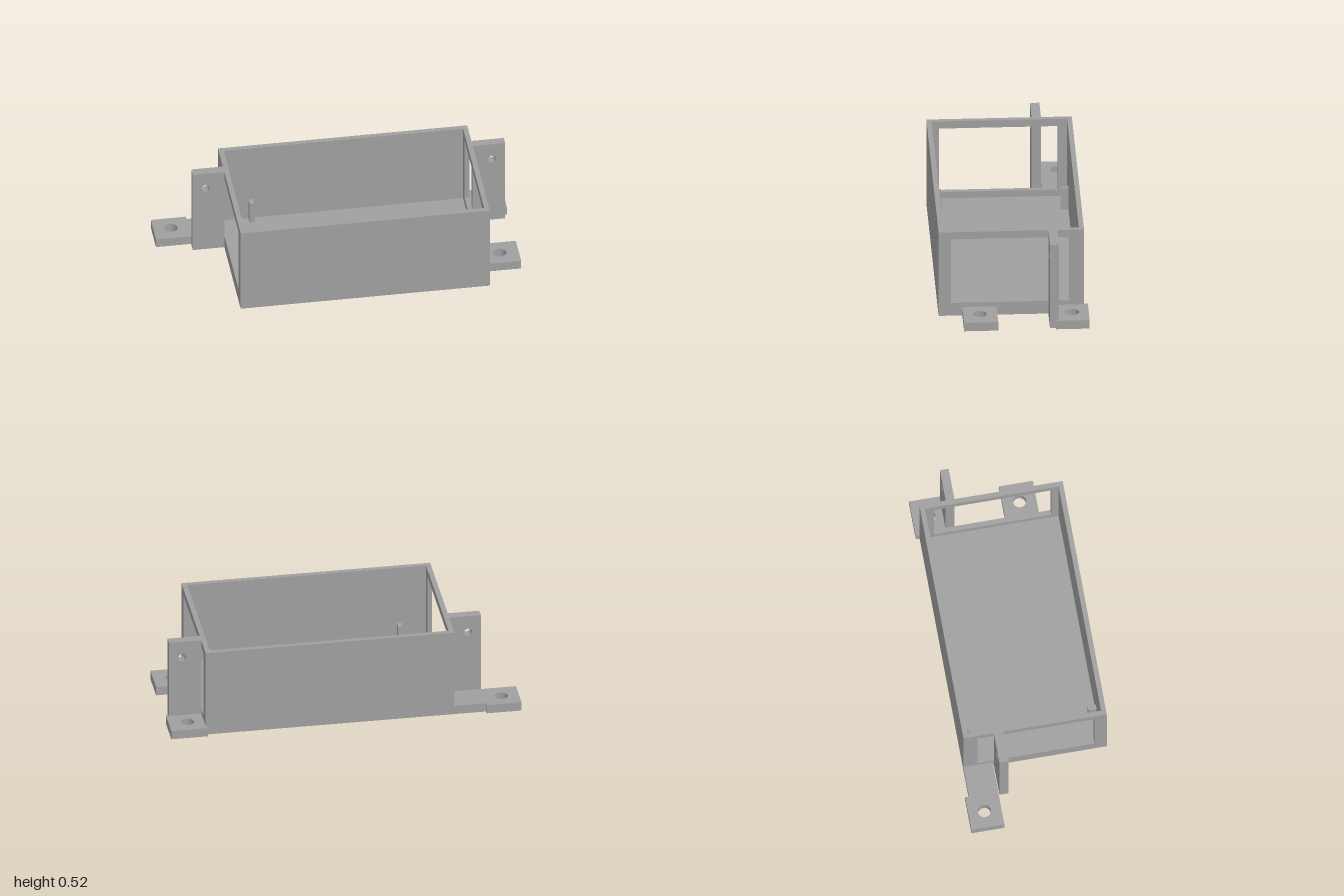
import * as THREE from 'three';

const X0 = -0.62, X1 = 0.8, Z0 = -0.4, Z1 = 0.42, H = 0.525;
const WALL = 0.028, FLOOR = 0.04, TAB = 0.053;

export function createModel() {
  const model = new THREE.Group();
  model.name = 'mountingTray';
  const grey = new THREE.MeshStandardMaterial({ color: 0xa0a0a0 });
  grey.name = 'plain grey';

  const add = (name, geometry) => {
    const mesh = new THREE.Mesh(geometry, grey);
    mesh.name = name;
    model.add(mesh);
    return mesh;
  };

  // Solid block given by its limits
  const block = (name, x0, x1, y0, y1, z0, z1) =>
    add(name, new THREE.BoxGeometry(x1 - x0, y1 - y0, z1 - z0))
      .position.set((x0 + x1) / 2, (y0 + y1) / 2, (z0 + z1) / 2);

  // Rectangular plate with one opening, extruded along +z
  const rect = (PathType, u0, u1, v0, v1) => {
    const p = new PathType();
    p.moveTo(u0, v0).lineTo(u1, v0).lineTo(u1, v1).lineTo(u0, v1).closePath();
    return p;
  };
  const plate = (u0, u1, v0, v1, hole, depth) => {
    const shape = rect(THREE.Shape, u0, u1, v0, v1);
    shape.holes.push(hole);
    return new THREE.ExtrudeGeometry(shape, { depth, bevelEnabled: false, curveSegments: 32 });
  };
  const circle = (u, v, r) => new THREE.Path().absarc(u, v, r, 0, Math.PI * 2, true);

  // Open-topped box
  block('floor', X0 + WALL, X1 - WALL, 0, FLOOR, Z0 + WALL, Z1 - WALL);
  block('frontWall', X0, X1, 0, H, Z1 - WALL, Z1);
  block('backWall', X0, X1, 0, H, Z0, Z0 + WALL);

  // End frames with large windows; local u runs along -z
  for (const [name, x] of [['rightEndFrame', X1 - WALL], ['leftEndFrame', X0]]) {
    const window = rect(THREE.Path, -0.35, 0.32, 0.08, 0.48);
    const g = plate(-(Z1 - WALL), -(Z0 + WALL), 0, H, window, WALL);
    add(name, g.rotateY(Math.PI / 2)).position.x = x;
  }

  // Small locating ribs on the inner faces of the long walls
  block('backRib', -0.452, -0.425, FLOOR, 0.17, Z0 + WALL, -0.328);
  block('frontRib', -0.452, -0.425, FLOOR, 0.17, 0.345, Z1 - WALL);

  // Upright drilled fins at both ends
  const fin = (name, x0, x1, z0, z1, holeX) =>
    add(name, plate(x0, x1, 0, H, circle(holeX, 0.422, 0.023), z1 - z0)).position.z = z0;
  fin('leftFin', -0.8, X0, -0.226, -0.173, -0.727);
  fin('rightFin', X1, 0.985, -0.249, -0.199, 0.91);

  // Flat screw tabs; local v runs along -z
  const tab = (name, x0, x1, z0, z1, holeX, holeZ) =>
    add(name, plate(x0, x1, -z1, -z0, circle(holeX, -holeZ, 0.037), TAB).rotateX(-Math.PI / 2));
  tab('leftBackTab', -1, -0.8, -0.422, -0.233, -0.9, -0.33);
  tab('rightBackTab', X1, 1, -0.422, -0.233, 0.893, -0.33);
  tab('rightFrontTab', X1, 1, 0.093, 0.286, 0.893, 0.19);
  block('leftTabBridge', -0.8, X0, 0, TAB, Z0, -0.233);
  block('rightTabHeel', 0.79, X1, 0, TAB, -0.422, Z0);

  return model;
}
